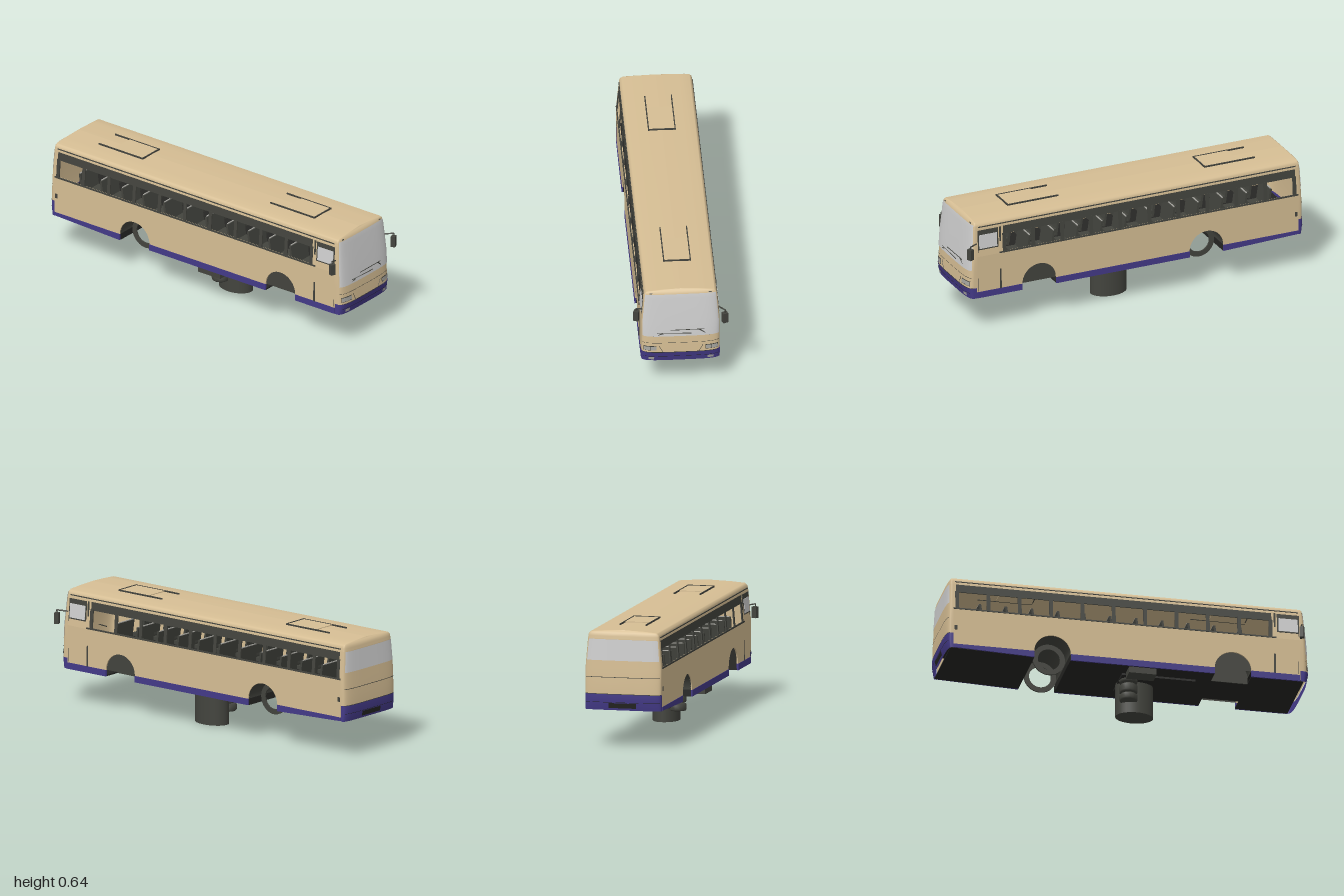
import * as THREE from 'three';

const mat = (name, color) => {
  const m = new THREE.MeshStandardMaterial({ color, side: THREE.DoubleSide });
  m.name = name;
  return m;
};

// body levels: y, half width, front z, rear z
const LEVELS = [
  [0.19, 0.21, 0.974, -0.985], [0.25, 0.21, 0.986, -0.998], [0.35, 0.21, 0.981, -0.998],
  [0.43, 0.21, 0.974, -0.993], [0.585, 0.197, 0.955, -0.984], [0.61, 0.193, 0.95, -0.98],
  [0.622, 0.181, 0.942, -0.972], [0.628, 0.11, 0.935, -0.965], [0.632, 0, 0.932, -0.962],
];
const Z_FRONT = 0.93, Z_REAR = -0.96, ROUND = 0.5;

function levelAt(y) {
  let i = 0;
  while (i < LEVELS.length - 2 && y > LEVELS[i + 1][0]) i++;
  const a = LEVELS[i], b = LEVELS[i + 1];
  const k = (y - a[0]) / (b[0] - a[0]);
  return a.map((v, n) => v + (b[n] - v) * k);
}

// point on the rounded front (end = 1) or rear (end = -1)
function endPoint(y, t, end, off = 0) {
  const [, w, f, b] = levelAt(y);
  const s = Math.sin(t), c = Math.max(0, Math.cos(t));
  const x = end * w * Math.sign(s) * Math.abs(s) ** ROUND;
  const bulge = c ** ROUND;
  const z = end > 0 ? Z_FRONT + (f - Z_FRONT) * bulge + off : Z_REAR + (b - Z_REAR) * bulge - off;
  return [x, y, z];
}

function grid(rows, closed) {
  const n = rows[0].length, idx = [];
  for (let i = 0; i < rows.length - 1; i++)
    for (let j = 0; j < (closed ? n : n - 1); j++) {
      const k = (j + 1) % n, a = i * n + j, b = i * n + k, c = a + n, d = b + n;
      idx.push(a, b, d, a, d, c);
    }
  const g = new THREE.BufferGeometry();
  g.setAttribute('position', new THREE.Float32BufferAttribute(rows.flat(2), 3));
  g.setIndex(idx);
  g.computeVertexNormals();
  return g;
}

// strip of the front or rear surface between heights y0..y1 and width fractions x0..x1
function patch(y0, y1, x0, x1, end, off = 0) {
  const toT = x => Math.sign(x) * Math.asin(Math.abs(x) ** (1 / ROUND));
  const ys = [y0, ...LEVELS.map(l => l[0]).filter(y => y > y0 + 1e-4 && y < y1 - 1e-4), y1];
  const a = toT(x0), b = toT(x1), N = 32;
  return grid(ys.map(y => Array.from({ length: N + 1 }, (_, j) => endPoint(y, a + (b - a) * j / N, end, off))));
}

// side panel drawn in (z, y), laid onto the leaning wall of one side
function sidePanel(shape, side, thick, off) {
  const g = new THREE.ExtrudeGeometry(shape, { depth: thick, bevelEnabled: false, curveSegments: 20 });
  const p = g.attributes.position;
  const pts = [];
  for (let i = 0; i < p.count; i++)
    pts.push([side * (levelAt(p.getY(i))[1] + off - thick + p.getZ(i)), p.getY(i), p.getX(i)]);
  if (side > 0) for (let i = 0; i < pts.length; i += 3) [pts[i + 1], pts[i + 2]] = [pts[i + 2], pts[i + 1]];
  const out = new THREE.BufferGeometry();
  out.setAttribute('position', new THREE.Float32BufferAttribute(pts.flat(), 3));
  out.computeVertexNormals();
  return out;
}
const poly = pts => new THREE.Shape(pts.map(([z, y]) => new THREE.Vector2(z, y)));
const rect = (z0, z1, y0, y1) => poly([[z0, y0], [z1, y0], [z1, y1], [z0, y1]]);

export function createModel() {
  const bus = new THREE.Group();
  const tan = mat('tan paint', 0xd6be94), purple = mat('purple paint', 0x443a88);
  const dark = mat('dark trim', 0x43443e), black = mat('black underside', 0x262624);
  const glass = mat('pale glass', 0xcfcfcf), lamp = mat('lamp grey', 0xa9a8a2);
  const add = (name, geo, m) => {
    const mesh = new THREE.Mesh(geo, m);
    mesh.name = name;
    bus.add(mesh);
    return mesh;
  };
  const box = (name, m, x0, x1, y0, y1, z0, z1) => {
    const b = add(name, new THREE.BoxGeometry(x1 - x0, y1 - y0, z1 - z0), m);
    b.position.set((x0 + x1) / 2, (y0 + y1) / 2, (z0 + z1) / 2);
    return b;
  };
  const rod = (name, a, b, r) => add(name, new THREE.TubeGeometry(
    new THREE.LineCurve3(new THREE.Vector3(...a), new THREE.Vector3(...b)), 1, r, 6), dark);

  // roof shell, rings shrinking to the crown
  const half = Array.from({ length: 33 }, (_, j) => -Math.PI / 2 + Math.PI * j / 32);
  add('roof', grid([0.585, 0.6, 0.61, 0.617, 0.622, 0.626, 0.628, 0.632].map(y =>
    [1, -1].flatMap(e => half.map(t => endPoint(y, t, e)))), true), tan);
  // roof hatch rails
  for (const [open, shut] of [[-0.77, -0.47], [0.39, 0.69]]) {
    for (const s of [-1, 1])
      box('hatchRail', dark, s * 0.071 - 0.003, s * 0.071 + 0.003, 0.628, 0.637, open, shut);
    box('hatchEnd', dark, -0.074, 0.074, 0.63, 0.638, shut - 0.006, shut);
    box('hatchLid', tan, -0.068, 0.068, 0.628, 0.635, open + 0.1, shut - 0.006);
  }

  // front face
  add('frontBumper', patch(0.19, 0.25, -1, 1, 1, 0.003), purple);
  add('frontPanel', patch(0.25, 0.585, -1, 1, 1), tan);
  add('windscreen', patch(0.352, 0.609, -0.975, 0.975, 1, 0.003), glass);
  add('bumperSeam', patch(0.249, 0.252, -0.9, 0.9, 1, 0.004), dark);
  add('bumperCrease', patch(0.221, 0.223, -0.95, 0.95, 1, 0.005), black);
  add('grilleSeam', patch(0.309, 0.311, -0.98, 0.98, 1, 0.002), dark);
  for (const s of [-1, 1]) {
    const strip = (name, y0, y1, a, b, m, off) =>
      add(name, patch(y0, y1, Math.min(s * a, s * b), Math.max(s * a, s * b), 1, off), m);
    strip('headlightFrame', 0.262, 0.29, 0.62, 0.95, dark, 0.002);
    strip('headlight', 0.265, 0.287, 0.63, 0.78, lamp, 0.004);
    strip('headlight', 0.265, 0.287, 0.79, 0.94, lamp, 0.004);
    strip('fogLamp', 0.2, 0.217, 0.68, 0.83, lamp, 0.006);
    strip('markerLamp', 0.612, 0.617, 0.8, 0.88, dark, 0.004);
    const fz = 0.984;
    rod('grilleEdge', [s * 0.118, 0.292, fz], [s * 0.098, 0.253, fz + 0.002], 0.0012);
  }

  // wipers
  const wz = 0.983;
  rod('wiperArm', [-0.166, 0.343, 0.972], [-0.095, 0.371, wz], 0.003);
  rod('wiperBlade', [-0.125, 0.373, 0.98], [0.055, 0.369, wz], 0.002);
  rod('wiperArm', [0.16, 0.342, 0.973], [0.1, 0.391, wz], 0.003);
  rod('wiperBlade', [-0.055, 0.392, wz], [0.125, 0.391, 0.98], 0.002);

  // rear face
  add('rearBumper', patch(0.203, 0.29, -1, 1, -1, 0.002), purple);
  add('rearPanel', patch(0.29, 0.585, -1, 1, -1), tan);
  add('rearWindow', patch(0.47, 0.583, -0.96, 0.96, -1, 0.002), glass);
  add('rearSeam', patch(0.379, 0.382, -0.97, 0.97, -1, 0.002), dark);
  add('rearSeam', patch(0.289, 0.292, -0.99, 0.99, -1, 0.003), dark);
  add('rearSeam', patch(0.245, 0.247, -0.97, 0.97, -1, 0.004), black);
  add('numberPlate', patch(0.215, 0.242, -0.36, 0.36, -1, 0.005), black);

  // side walls
  const F = 0.565, R = -0.42, A = 0.1, ARCH_Y = 0.225;
  for (const s of [-1, 1]) {
    const lower = new THREE.Shape();
    lower.moveTo(Z_REAR, 0.225);
    for (const c of [R, F]) {
      lower.lineTo(c - A, ARCH_Y);
      lower.absarc(c, ARCH_Y, A, Math.PI, 0, true);
    }
    lower.lineTo(Z_FRONT, 0.225);
    lower.lineTo(Z_FRONT, 0.43);
    lower.lineTo(Z_REAR, 0.43);
    add('lowerSide', sidePanel(lower, s, 0.008, 0), tan);

    const upper = rect(Z_REAR, Z_FRONT, 0.43, 0.585);
    upper.holes.push(rect(-0.945, 0.775, 0.436, 0.58));
    add('windowSurround', sidePanel(upper, s, 0.008, 0), tan);

    const skirts = [
      [[Z_REAR, 0.205], [R - A, 0.19], [R - A, 0.225], [Z_REAR, 0.225]],
      [[R + A, 0.19], [F - A, 0.19], [F - A, 0.225], [R + A, 0.225]],
      [[F + A, 0.19], [Z_FRONT, 0.19], [Z_FRONT, 0.225], [F + A, 0.225]],
    ];
    for (const pts of skirts) add('skirt', sidePanel(poly(pts), s, 0.009, 0.002), purple);

    // window frames, header and pillars
    add('windowHeader', sidePanel(rect(-0.945, 0.775, 0.535, 0.58), s, 0.006, 0), dark);
    add('windowSill', sidePanel(rect(Z_REAR, 0.8, 0.43, 0.438), s, 0.006, 0.003), dark);
    add('gutter', sidePanel(rect(-0.95, 0.92, 0.594, 0.599), s, 0.006, 0.003), dark);
    for (let i = 0; i <= 10; i++) {
      const z = -0.94 + i * 0.171;
      add('windowPillar', sidePanel(rect(z - 0.01, z + 0.01, 0.436, 0.54), s, 0.006, 0.001), dark);
    }

    // door and cab window
    add('doorPost', sidePanel(rect(0.788, 0.798, 0.225, 0.58), s, 0.005, 0.004), dark);
    add('cabWindowFrame', sidePanel(rect(0.805, 0.925, 0.468, 0.578), s, 0.004, 0.002), dark);
    add('cabWindow', sidePanel(rect(0.813, 0.918, 0.475, 0.552), s, 0.004, 0.004), glass);
    add('doorSeam', sidePanel(rect(0.922, 0.925, 0.23, 0.468), s, 0.003, 0.001), dark);
    add('sideMarker', sidePanel(rect(-0.955, -0.94, 0.31, 0.335), s, 0.004, 0.002), dark);

    // front wheel well
    const well = add('frontWheelWell', new THREE.CylinderGeometry(A, A, 0.095, 24, 1, false, 0, Math.PI), dark);
    well.rotation.z = Math.PI / 2;
    well.position.set(s * 0.155, ARCH_Y, F);
    box('wellInnerWall', dark, s * 0.11 - 0.003, s * 0.11 + 0.003, 0.19, 0.23, F - A, F + A);

    // rear wheel rim ring
    const ringShape = new THREE.Shape().absarc(0, 0, 0.088, 0, Math.PI * 2);
    ringShape.holes.push(new THREE.Path().absarc(0, 0, 0.06, 0, Math.PI * 2));
    const ring = add('rearWheelRing', new THREE.ExtrudeGeometry(ringShape,
      { depth: 0.008, bevelEnabled: false, curveSegments: 32 }), dark);
    ring.rotation.y = Math.PI / 2;
    ring.position.set(s * 0.112 - 0.004, 0.226, R);

    // mirrors
    const mz = s > 0 ? 0.983 : 0.935;
    const head = box('mirror', dark, s * 0.235 - 0.014, s * 0.235 + 0.014, 0.435, 0.496, mz - 0.012, mz + 0.012);
    head.rotation.y = s * 0.4;
    rod('mirrorArm', [s * 0.2, 0.504, 0.93], [s * 0.238, 0.511, mz], 0.004);
    rod('mirrorStem', [s * 0.238, 0.511, mz], [s * 0.236, 0.49, mz], 0.003);
  }

  // floor, rear axle tunnel and chassis plates
  box('floorFront', black, -0.205, 0.205, 0.19, 0.198, F + A, 0.95);
  box('floorFrontAxle', black, -0.11, 0.11, 0.19, 0.198, F - A, F + A);
  box('floorMiddle', black, -0.205, 0.205, 0.19, 0.198, R + A, F - A);
  const tail = box('floorRear', black, -0.205, 0.205, 0.197, 0.205, -0.975, R - A);
  tail.rotation.x = 0.03;
  const tunnel = add('rearAxleTunnel', new THREE.CylinderGeometry(A, A, 0.41, 24, 1, true, 0, Math.PI), dark);
  tunnel.rotation.z = Math.PI / 2;
  tunnel.position.set(0, ARCH_Y, R);
  for (const e of [-1, 1])
    box('tunnelSide', black, -0.205, 0.205, 0.19, 0.226, R + e * A - 0.002, R + e * A + 0.002);
  box('chassisPlate', black, -0.11, 0.11, 0.179, 0.19, -0.02, 0.38);
  box('sideLocker', dark, -0.2, -0.115, 0.156, 0.19, 0, 0.15);

  // tank and stacked canisters below the floor
  const tank = add('tank', new THREE.CylinderGeometry(0.072, 0.072, 0.19, 32), dark);
  tank.scale.z = 1.42;
  tank.position.set(0.032, 0.095, 0.077);
  for (const [y0, y1] of [[0.06, 0.1], [0.106, 0.155], [0.163, 0.19]]) {
    const pts = [[0, y0], [0.045, y0], [0.05, y0 + 0.008], [0.05, y1 - 0.008], [0.04, y1], [0, y1]];
    const can = add('canister', new THREE.LatheGeometry(pts.map(p => new THREE.Vector2(...p)), 12), dark);
    can.position.set(-0.04, 0, 0.03);
  }

  // cabin floor and seats
  box('cabinFloor', black, -0.2, 0.2, 0.327, 0.333, -0.94, 0.78);
  for (let i = 0; i < 11; i++)
    for (const s of [-1, 1]) {
      const z = 0.62 - i * 0.142;
      const back = box('seatBack', dark, s * 0.115 - 0.07, s * 0.115 + 0.07, 0.34, 0.485, z - 0.006, z + 0.006);
      back.rotation.x = -0.15;
      box('seatCushion', dark, s * 0.115 - 0.07, s * 0.115 + 0.07, 0.36, 0.38, z, z + 0.07);
      box('seatHandle', lamp, s * 0.115 - 0.06, s * 0.115 + 0.06, 0.483, 0.488, z - 0.016, z - 0.01);
    }
  return bus;
}
